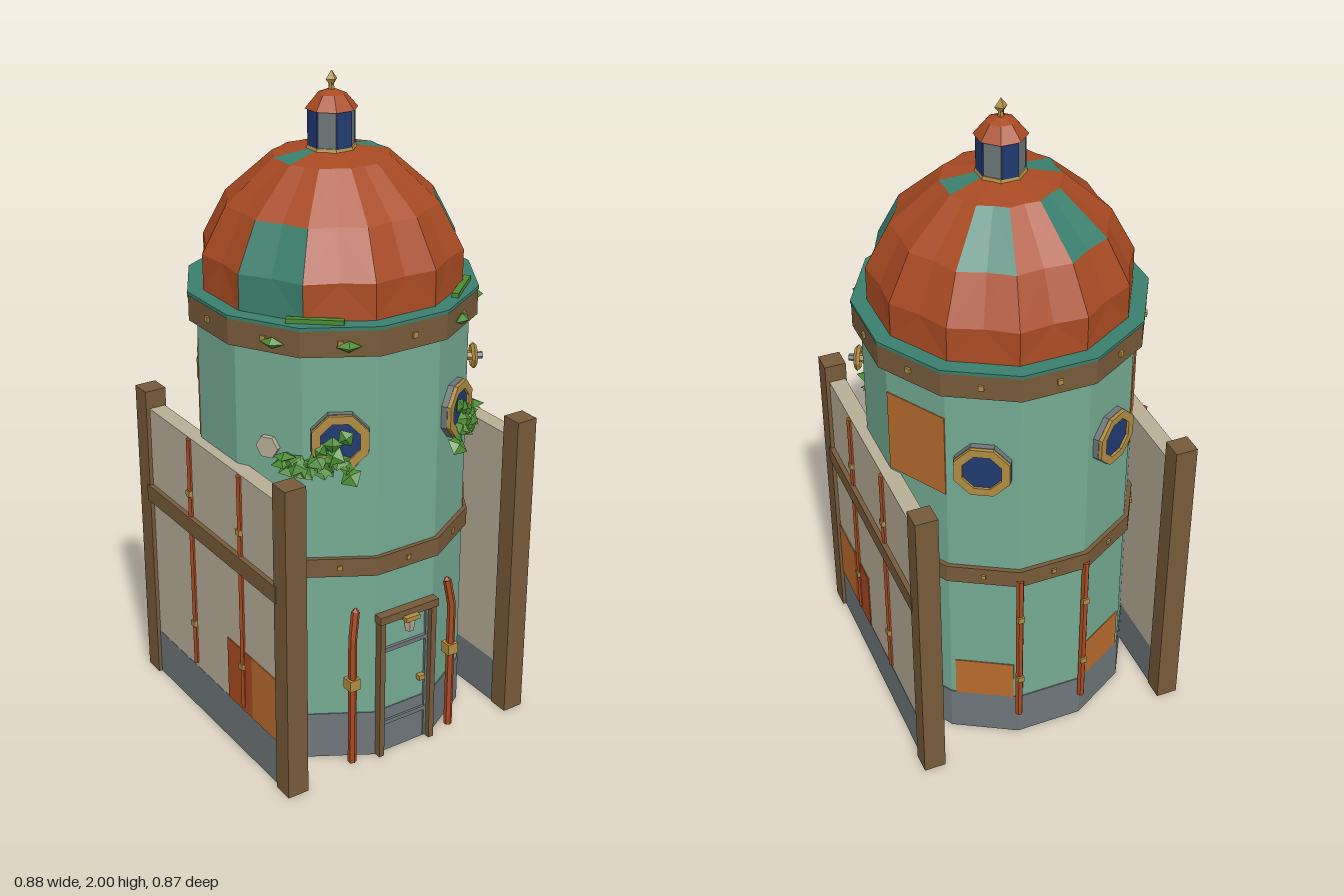
import * as THREE from 'three';

const mat = (name, color) => { const m = new THREE.MeshStandardMaterial({ color }); m.name = name; return m; };
const M = {
  mint: mat('mint plaster', 0x74aa92), teal: mat('teal copper', 0x3a7f6d), rust: mat('rust red', 0xa84a22),
  orange: mat('orange patch', 0xb86c2e), brown: mat('brown timber', 0x765a3a), cream: mat('cream panel', 0xb8ae97),
  gray: mat('gray stone', 0x6e7679), navy: mat('navy glass', 0x203a70), gold: mat('gold brass', 0xb08c42),
  green: mat('leaf green', 0x4a8a32),
};
const D = Math.PI / 180, R = 0.404, AP = R * Math.cos(15 * D), FACE = 2 * R * Math.sin(15 * D);

// Faceted mesh helper
function add(parent, name, geo, m, x = 0, y = 0, z = 0) {
  const g = geo.index ? geo.toNonIndexed() : geo;
  g.computeVertexNormals();
  const mesh = new THREE.Mesh(g, m);
  mesh.name = name;
  mesh.position.set(x, y, z);
  parent.add(mesh);
  return mesh;
}
const box = (w, h, d) => new THREE.BoxGeometry(w, h, d);
// Prism with flat sides facing the front
const prism = (r1, r2, h, n) => new THREE.CylinderGeometry(r1, r2, h, n, 1, false, Math.PI / n);
// Group on the tower wall: local +z points outward at the given angle from the front
function onWall(parent, name, deg, y, r = AP) {
  const g = new THREE.Group();
  g.name = name;
  g.position.set(Math.sin(deg * D) * r, y, Math.cos(deg * D) * r);
  g.rotation.y = deg * D;
  parent.add(g);
  return g;
}
function patch(parent, name, deg, y0, y1, m, w = FACE, r = AP) {
  add(onWall(parent, name, deg, (y0 + y1) / 2, r), name, box(w, y1 - y0, 0.006), m);
}

// Scalloped dome: 24 columns with ridges and shallow valleys, split by colour
function buildDome(root) {
  const rows = [[0.383, 1.4], [0.383, 1.505], [0.312, 1.64], [0.172, 1.765], [0.06, 1.785]];
  const pt = (row, col) => {
    const [r, y] = rows[row], a = (15 + col * 15) * D;
    const s = col % 2 ? r * (row === 0 ? 0.965 : 0.945) : r;
    return [Math.sin(a) * s, y, Math.cos(a) * s];
  };
  const isTeal = (row, gore) => {
    const deg = (gore + 1) * 30;
    if (row < 2) return deg === 60 || deg === 300;
    if (row === 2) return deg === 150 || deg === 210;
    return deg === 90 || deg === 270;
  };
  const pos = { rust: [], teal: [] };
  for (let row = 0; row < 4; row++) for (let c = 0; c < 24; c++) {
    const a = pt(row, c), b = pt(row, c + 1), d = pt(row + 1, c), e = pt(row + 1, c + 1);
    const tris = c % 2 ? [a, b, d, b, e, d] : [a, b, e, a, e, d];
    pos[isTeal(row, Math.floor(c / 2)) ? 'teal' : 'rust'].push(...tris.flat());
  }
  for (const k of ['rust', 'teal']) {
    const g = new THREE.BufferGeometry();
    g.setAttribute('position', new THREE.Float32BufferAttribute(pos[k], 3));
    add(root, k === 'rust' ? 'domeTiles' : 'domeCopperTiles', g, M[k]);
  }
}

function buildLantern(root) {
  const g = new THREE.Group();
  g.name = 'lantern';
  root.add(g);
  add(g, 'lanternBase', prism(0.07, 0.075, 0.014, 8), M.gold, 0, 1.785);
  add(g, 'lanternBody', prism(0.066, 0.066, 0.12, 8), M.gray, 0, 1.84);
  for (let i = 0; i < 4; i++) {
    const p = onWall(g, 'lanternWindow', i * 90, 1.84, 0.062);
    add(p, 'lanternGlass', box(0.048, 0.11, 0.006), M.navy);
  }
  add(g, 'lanternRoof', prism(0.042, 0.076, 0.04, 8), M.rust, 0, 1.915);
  add(g, 'lanternRoofCap', prism(0.012, 0.042, 0.012, 8), M.rust, 0, 1.941);
  add(g, 'finialStem', prism(0.008, 0.01, 0.03, 6), M.gold, 0, 1.95);
  add(g, 'finialTip', new THREE.OctahedronGeometry(1), M.gold, 0, 1.975).scale.set(0.019, 0.025, 0.019);
}

function buildWindow(root, deg) {
  const g = onWall(root, 'roundWindow', deg, 1.06);
  const tilt = (geo) => geo.rotateX(Math.PI / 2);
  add(g, 'windowCase', tilt(prism(0.088, 0.088, 0.026, 8)), M.gray, 0, 0, 0.005);
  const ring = new THREE.Shape(), hole = new THREE.Path();
  for (let i = 0; i < 8; i++) {
    const a = (22.5 + 45 * i) * D, f = i ? 'lineTo' : 'moveTo';
    ring[f](Math.cos(a) * 0.086, Math.sin(a) * 0.086);
    hole[f](Math.cos(a) * 0.06, Math.sin(a) * 0.06);
  }
  ring.holes.push(hole);
  add(g, 'windowRing', new THREE.ExtrudeGeometry(ring, { depth: 0.012, bevelEnabled: false }), M.gold, 0, 0, 0.017);
  add(g, 'windowGlass', tilt(prism(0.062, 0.062, 0.006, 8)), M.navy, 0, 0, 0.018);
}

// Leaves trailing below a front window and along the cornice
function buildPlants(root, s) {
  let seed = 7;
  const rnd = () => (seed = (seed * 16807) % 2147483647) / 2147483647;
  for (let i = 0; i < 18; i++) {
    const t = i / 17;
    const g = onWall(root, 'windowPlant', s * (26 + 27 * t), 0.99 + (rnd() - 0.5) * 0.07, 0.405 + rnd() * 0.02);
    const leaf = add(g, 'leaf', new THREE.OctahedronGeometry(1), M.green);
    leaf.scale.set(0.034, 0.014, 0.034);
    leaf.rotation.set(0.5 + rnd() * 0.5, rnd() * 2, (rnd() - 0.5) * 1.4);
  }
  for (let i = 0; i < 3; i++) {
    const g = onWall(root, 'hangingLeaf', s * (28 + 5 * i), 1.075 - 0.02 * i, 0.42);
    const leaf = add(g, 'leaf', new THREE.OctahedronGeometry(1), M.green);
    leaf.scale.set(0.03, 0.025, 0.012);
    leaf.rotation.z = i - 1;
  }
  add(onWall(root, 'corniceVine', s * 40, 1.405, 0.385), 'vine', box(0.16, 0.016, 0.02), M.green);
  for (const a of [27, 56])
    add(onWall(root, 'corniceLeaf', s * a, 1.345, 0.42), 'leaf', new THREE.OctahedronGeometry(1), M.green)
      .scale.set(0.036, 0.017, 0.022);
}

function buildDoor(root) {
  const g = onWall(root, 'door', 0, 0);
  for (const s of [-1, 1]) {
    add(g, 'doorPost', box(0.018, 0.47, 0.03), M.brown, s * 0.092, 0.235, 0.01);
    add(g, 'doorEdge', box(0.008, 0.45, 0.01), M.gray, s * 0.078, 0.23, 0.004);
  }
  add(g, 'doorLintel', box(0.21, 0.025, 0.036), M.brown, 0, 0.478, 0.012);
  for (const y of [0.36, 0.105]) add(g, 'doorStrap', box(0.156, 0.014, 0.012), M.gray, 0, y, 0.004);
  add(g, 'doorKnob', box(0.022, 0.016, 0.018), M.gold, 0.06, 0.222, 0.008);
  add(g, 'doorLampHood', box(0.05, 0.014, 0.05), M.gold, 0, 0.465, 0.022);
  add(g, 'doorLampGlass', prism(0.02, 0.014, 0.04, 6), M.cream, 0, 0.438, 0.026);
}

// Timber framed screen beside the tower
function buildScreen(root, s) {
  const g = new THREE.Group();
  g.name = s > 0 ? 'leftScreen' : 'rightScreen';
  root.add(g);
  add(g, 'screenBase', box(0.053, 0.152, 0.74), M.gray, s * 0.3975, 0.076);
  add(g, 'screenPanel', box(0.052, 0.79, 0.74), M.cream, s * 0.397, 0.547);
  for (const z of [-1, 1]) add(g, 'screenPost', box(0.068, 1, 0.066), M.brown, s * 0.401, 0.5, z * 0.4);
  add(g, 'screenRail', box(0.02, 0.054, 0.76), M.brown, s * 0.428, 0.657);
  for (const z of [0.17, -0.12]) {
    add(g, 'screenRod', prism(0.011, 0.011, 0.77, 6), M.rust, s * 0.423, 0.553, z);
    for (const y of [0.76, 0.31]) add(g, 'rodClip', box(0.012, 0.018, 0.02), M.gold, s * 0.43, y, z);
  }
  add(g, 'orangeRepair', box(0.006, 0.21, 0.148), M.orange, s * 0.423, 0.257, 0.294);
  add(g, 'rustRepair', box(0.006, 0.21, 0.14), M.rust, s * 0.423, 0.257, 0.15);
}

export function createModel() {
  const root = new THREE.Group();
  root.name = 'observatoryTower';

  // Tower shell and bands
  add(root, 'towerBase', prism(R + 0.003, R + 0.003, 0.152, 12), M.gray, 0, 0.076);
  add(root, 'towerWall', prism(R, R, 1.2, 12), M.mint, 0, 0.75);
  add(root, 'middleBand', prism(0.418, 0.418, 0.058, 12), M.brown, 0, 0.657);
  add(root, 'cornice', prism(0.428, 0.428, 0.078, 12), M.brown, 0, 1.352);
  add(root, 'corniceTop', prism(0.43, 0.43, 0.01, 12), M.teal, 0, 1.395);
  for (let i = 0; i < 12; i++) {
    add(onWall(root, 'corniceStud', i * 30, 1.352, 0.414), 'stud', box(0.016, 0.016, 0.012), M.gold);
    add(onWall(root, 'bandStud', i * 30, 0.657, 0.404), 'stud', box(0.014, 0.014, 0.01), M.gold);
  }
  buildDome(root);
  buildLantern(root);
  buildDoor(root);

  for (const s of [-1, 1]) {
    buildScreen(root, s);
    buildPlants(root, s);
    buildWindow(root, s * 30);
    buildWindow(root, s * 150);
    // Wall repairs and moss
    patch(root, 'upperRepair', s * 120, 0.95, 1.22, M.orange, FACE * 0.98);
    patch(root, 'middleRepair', s * 60, 0.68, 0.765, M.orange);
    patch(root, 'lowerRepair', s * 150, 0.15, 0.29, M.orange, 0.18);
    patch(root, 'moss', s * 60, 0.02, 0.055, M.green, 0.15, AP + 0.004);
    // Bent front pipe
    const path = new THREE.CurvePath();
    const pts = [[0.18, 0, 0.385], [0.18, 0.43, 0.385], [0.166, 0.515, 0.378]].map((p) => new THREE.Vector3(s * p[0], p[1], p[2]));
    path.add(new THREE.LineCurve3(pts[0], pts[1]));
    path.add(new THREE.LineCurve3(pts[1], pts[2]));
    add(root, 'frontPipe', new THREE.TubeGeometry(path, 12, 0.013, 6), M.rust);
    add(root, 'pipeTip', new THREE.OctahedronGeometry(0.013), M.rust, pts[2].x, pts[2].y, pts[2].z);
    add(root, 'pipeClamp', box(0.036, 0.036, 0.036), M.gold, s * 0.18, 0.277, 0.383);
    // Straight back pipe
    add(root, 'backPipe', prism(0.012, 0.012, 0.56, 6), M.rust, s * 0.106, 0.37, -0.4);
    for (const y of [0.25, 0.5]) add(root, 'backPipeClip', box(0.02, 0.02, 0.02), M.gold, s * 0.106, y, -0.406);
  }

  // Valve wheel on the left side, small vent on the right side
  const valve = onWall(root, 'valve', 62, 1.133);
  add(valve, 'valveStem', prism(0.012, 0.016, 0.05, 6).rotateX(Math.PI / 2), M.gold, 0, 0, 0.02);
  add(valve, 'valveWheel', new THREE.TorusGeometry(0.032, 0.009, 4, 8), M.gold, 0, 0, 0.035);
  add(valve, 'valveSpoke', box(0.06, 0.01, 0.01), M.gold, 0, 0, 0.035);
  add(valve, 'valveCap', prism(0.011, 0.011, 0.02, 6).rotateX(Math.PI / 2), M.gray, 0, 0, 0.053);
  add(onWall(root, 'vent', -60, 1.02), 'vent', prism(0.035, 0.035, 0.03, 6).rotateX(Math.PI / 2), M.cream);
  return root;
}
